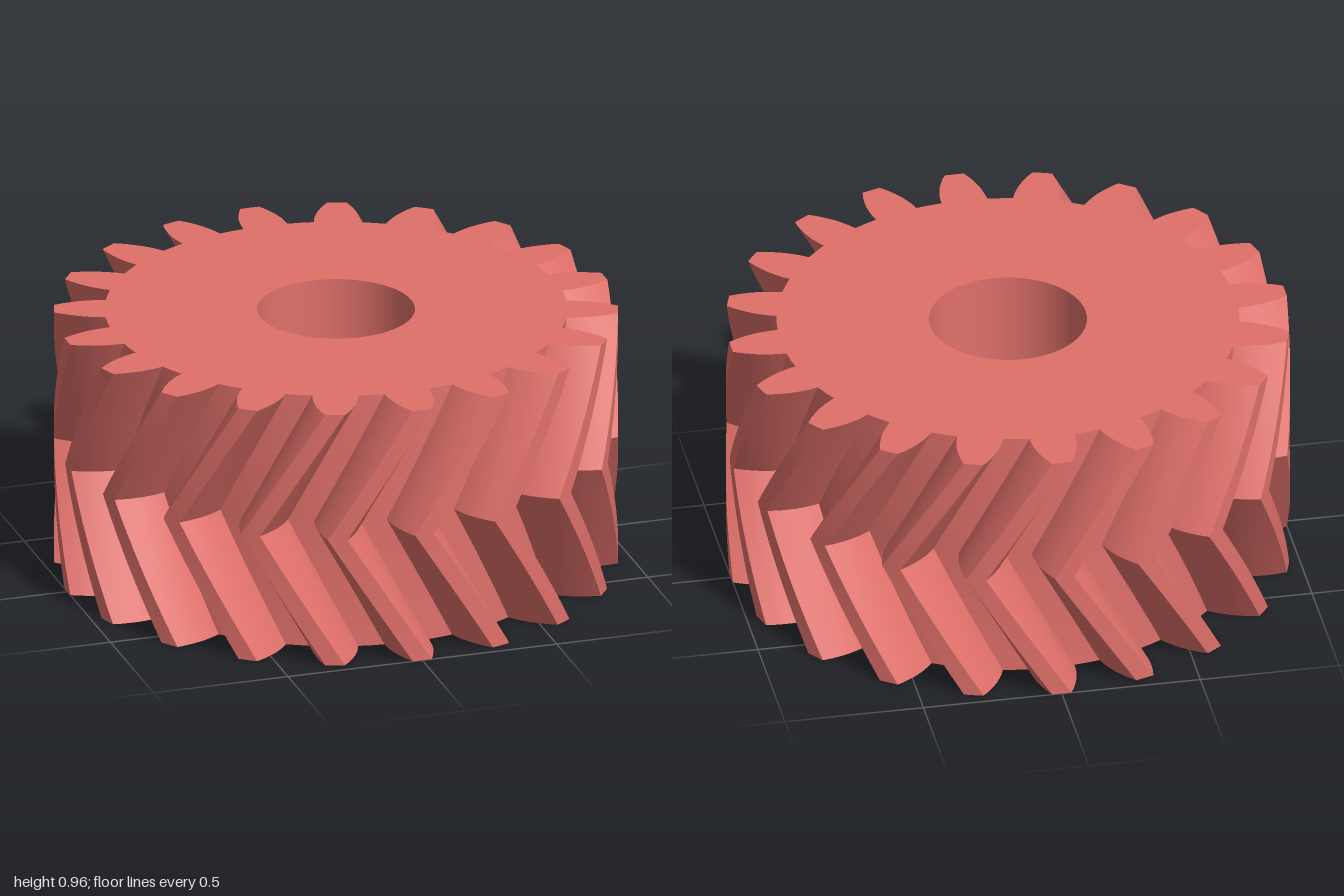
import * as THREE from 'three';
import { toCreasedNormals } from 'three/addons/utils/BufferGeometryUtils.js';

const TEETH = 20, HEIGHT = 0.957, BORE = 0.28, STEPS = 24;
const TWIST = THREE.MathUtils.degToRad(17.47); // turn from an end face to the middle
// Tooth flank: radius, half angle of the tooth in degrees
const FLANK = [[0.82, 5.7], [0.845, 5.5], [0.875, 5.1], [0.909, 4.5], [0.94, 3.75], [0.97, 2.95], [1, 2]];

function gearShape() {
  const points = [];
  const add = (r, deg) => {
    const a = THREE.MathUtils.degToRad(deg);
    points.push(new THREE.Vector2(r * Math.cos(a), r * Math.sin(a)));
  };
  const pitch = 360 / TEETH;
  for (let i = 0; i < TEETH; i++) {
    const c = i * pitch;
    for (const [r, h] of FLANK) add(r, c - h); // rising flank
    add(1, c); // tip
    for (const [r, h] of [...FLANK].reverse()) add(r, c + h); // falling flank
    add(FLANK[0][0], c + pitch / 2); // root between teeth
  }
  const shape = new THREE.Shape(points);
  shape.holes.push(new THREE.Path().absarc(0, 0, BORE, 0, Math.PI * 2, true));
  return shape;
}

export function createModel() {
  const group = new THREE.Group();
  group.name = 'herringboneGear';

  // Straight gear, stood upright
  const geometry = new THREE.ExtrudeGeometry(gearShape(), {
    depth: HEIGHT, steps: STEPS, bevelEnabled: false, curveSegments: 32,
  });
  geometry.rotateX(-Math.PI / 2);

  // Twist the teeth one way up to the middle and back again; the bore stays straight
  const position = geometry.attributes.position;
  const axis = new THREE.Vector3(0, 1, 0), v = new THREE.Vector3();
  for (let i = 0; i < position.count; i++) {
    v.fromBufferAttribute(position, i);
    if (Math.hypot(v.x, v.z) < 0.5) continue;
    const toMiddle = 1 - Math.abs(v.y / HEIGHT * 2 - 1);
    v.applyAxisAngle(axis, -TWIST * toMiddle);
    position.setXYZ(i, v.x, v.y, v.z);
  }

  const gear = new THREE.Mesh(
    toCreasedNormals(geometry, 0.45),
    new THREE.MeshStandardMaterial({ color: 0xe0706a })
  );
  gear.name = 'gearBody';
  group.add(gear);
  return group;
}
